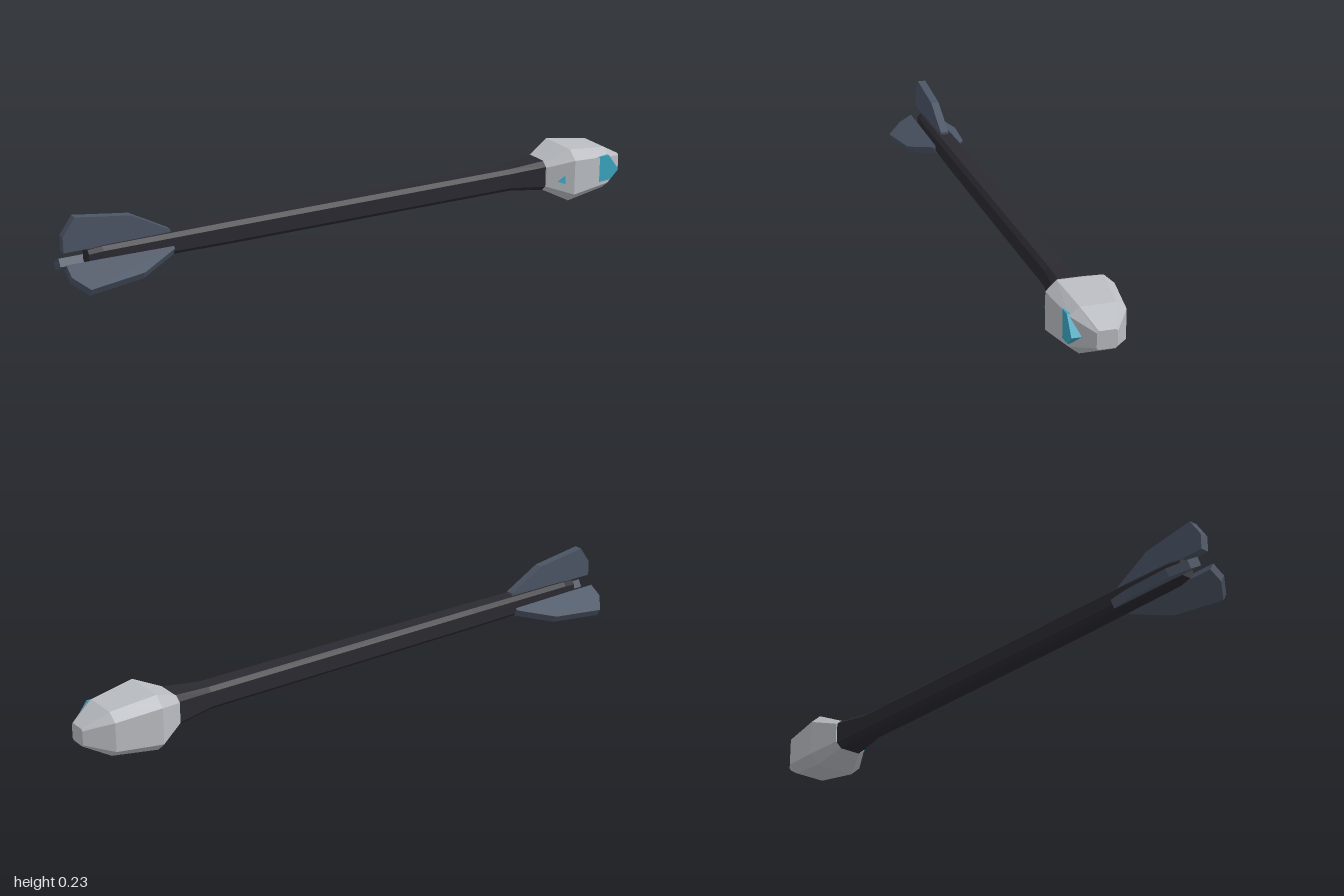
import * as THREE from 'three';

const material = (name, color) => {
  const m = new THREE.MeshStandardMaterial({ color });
  m.name = name;
  return m;
};

// Ring of a chamfered rectangle at x: half width hz, height y0..y1, chamfer cz by cy
function ring([x, hz, y0, y1, cz, cy]) {
  return [
    [y1, -hz + cz], [y1, hz - cz], [y1 - cy, hz], [y0 + cy, hz],
    [y0, hz - cz], [y0, -hz + cz], [y0 + cy, -hz], [y1 - cy, -hz],
  ].map(([y, z]) => [x, y, z]);
}

// Faceted body through sections ordered along +x, closed at both ends
function loft(sections) {
  const rings = sections.map(ring);
  const pos = [];
  const tri = (...points) => points.forEach((p) => pos.push(...p));
  for (let i = 0; i < rings.length - 1; i++) {
    for (let j = 0; j < 8; j++) {
      const k = (j + 1) % 8;
      const a = rings[i][j], b = rings[i][k], c = rings[i + 1][k], d = rings[i + 1][j];
      tri(a, b, c);
      tri(a, c, d);
    }
  }
  const first = rings[0], last = rings[rings.length - 1];
  for (let j = 1; j < 7; j++) {
    tri(first[0], first[j + 1], first[j]);
    tri(last[0], last[j], last[j + 1]);
  }
  const g = new THREE.BufferGeometry();
  g.setAttribute('position', new THREE.Float32BufferAttribute(pos, 3));
  g.computeVertexNormals();
  return g;
}

// Flat plate cut from an outline in x and y
function plate(points, depth) {
  const shape = new THREE.Shape(points.map(([x, y]) => new THREE.Vector2(x, y)));
  return new THREE.ExtrudeGeometry(shape, { depth, bevelEnabled: false });
}

export function createModel() {
  const model = new THREE.Group();
  const add = (name, geometry, mat) => {
    const mesh = new THREE.Mesh(geometry, mat);
    mesh.name = name;
    model.add(mesh);
    return mesh;
  };
  const stone = material('pale grey', 0xb9bcc1);
  const dark = material('dark shaft', 0x2b2a31);
  const slate = material('slate fin', 0x4b5565);
  const teal = material('teal gem', 0x3aa6c2);

  // Head
  add('head', loft([
    [0.685, 0.06, 0.045, 0.145, 0.02, 0.017],
    [0.77, 0.104, 0.002, 0.182, 0.034, 0.031],
    [0.92, 0.085, 0.02, 0.163, 0.031, 0.025],
    [1.0, 0.031, 0.063, 0.12, 0.006, 0.006],
  ]), stone);

  // Shaft, flared where it meets the head
  add('shaft', loft([
    [-0.925, 0.026, 0.069, 0.121, 0.011, 0.011],
    [-0.88, 0.032, 0.063, 0.127, 0.012, 0.012],
    [-0.47, 0.036, 0.059, 0.131, 0.013, 0.013],
    [0.56, 0.038, 0.058, 0.133, 0.013, 0.013],
    [0.69, 0.057, 0.044, 0.146, 0.018, 0.016],
  ]), dark);

  // Gem sunk into the front of the head, showing at both ends
  const gem = plate([
    [0.72, 0.08], [0.79, 0.144], [0.917, 0.144], [0.958, 0.088], [0.926, 0.057], [0.79, 0.05],
  ].reverse(), 0.05);
  add('gem', gem, teal).position.z = 0.04;

  // Three tail fins around the shaft
  const fin = plate([
    [-1.0, 0.029], [-0.655, 0.029], [-0.655, 0.042], [-0.78, 0.11], [-0.96, 0.135], [-1.0, 0.078],
  ], 0.027).translate(0, 0, -0.0135);
  ['topFin', 'frontFin', 'backFin'].forEach((name, i) => {
    const mesh = add(name, fin, slate);
    mesh.rotation.x = (i * Math.PI * 2) / 3;
    mesh.position.y = 0.095;
  });
  return model;
}
